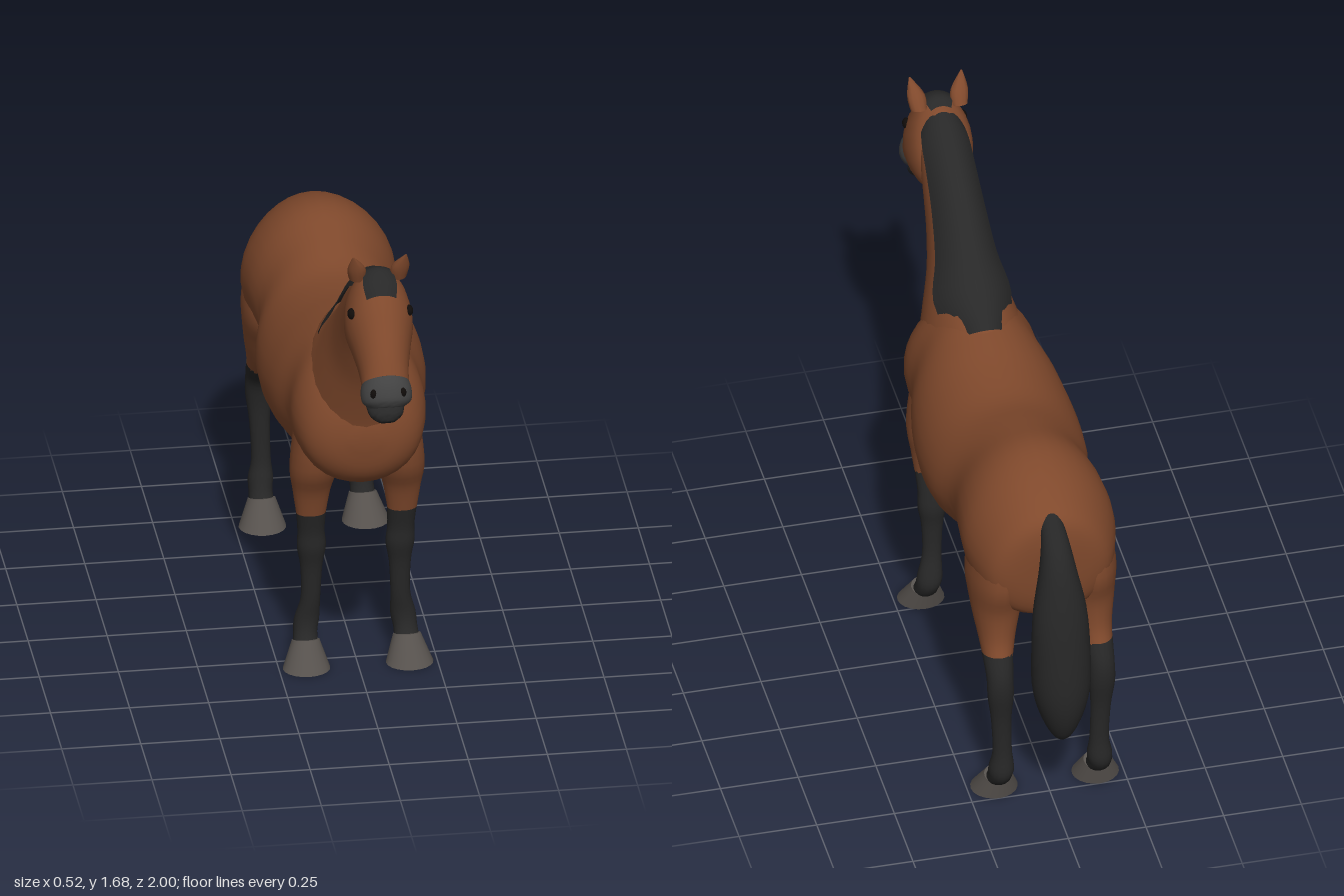
import * as THREE from 'three';
import { toCreasedNormals } from 'three/addons/utils/BufferGeometryUtils.js';

const mat = (name, color, side = THREE.FrontSide) => {
  const m = new THREE.MeshStandardMaterial({ color, side });
  m.name = name;
  return m;
};

// Smooth interpolation of the ring table
function refine(rings, steps) {
  const out = [];
  const at = (i) => rings[Math.min(Math.max(i, 0), rings.length - 1)];
  for (let i = 0; i < rings.length - 1; i++) {
    for (let s = 0; s < steps; s++) {
      const t = s / steps, t2 = t * t, t3 = t2 * t;
      out.push(at(i).map((p1, k) => {
        const p0 = at(i - 1)[k], p2 = at(i + 1)[k], p3 = at(i + 2)[k];
        return 0.5 * (2 * p1 + (p2 - p0) * t + (2 * p0 - 5 * p1 + 4 * p2 - p3) * t2
          + (3 * p1 - p0 - 3 * p2 + p3) * t3);
      }));
    }
  }
  out.push(at(rings.length - 1));
  return out;
}

// Skin over oval rings: [z, y of one end, z, y of the other end, half width, centre x]
// arc < PI gives an open strip around the first end; taper narrows that end
function loft(rings, { steps = 4, sides = 24, arc = Math.PI, inflate = 0, taper = 0 } = {}) {
  const rows = refine(rings.map((r) => (r.length < 6 ? [...r, 0] : r)), steps);
  const pos = [], idx = [], n = sides + 1, closed = arc === Math.PI;
  for (const [az, ay, bz, by, w, cx] of rows) {
    const grow = 0.5 + inflate / Math.hypot(az - bz, ay - by);
    for (let j = 0; j < n; j++) {
      const t = -arc + (2 * arc * j) / sides, c = Math.cos(t);
      pos.push(cx + (w + inflate) * Math.sin(t) * (1 - taper * c),
        (ay + by) / 2 + (ay - by) * grow * c, (az + bz) / 2 + (az - bz) * grow * c);
    }
  }
  for (let i = 0; i < rows.length - 1; i++) {
    for (let j = 0; j < sides; j++) {
      const a = i * n + j, b = a + 1, c = a + n, d = c + 1;
      idx.push(a, c, b, b, c, d);
    }
  }
  if (closed) {
    [0, rows.length - 1].forEach((r, end) => {
      const [az, ay, bz, by, , cx] = rows[r], m = pos.length / 3;
      pos.push(cx, (ay + by) / 2, (az + bz) / 2);
      for (let j = 0; j < sides; j++) {
        const a = r * n + j;
        if (end) idx.push(a, m, a + 1); else idx.push(a, a + 1, m);
      }
    });
  }
  // Turn the faces outward where the rings run the other way
  let volume = 0;
  const v = [0, 1, 2].map(() => new THREE.Vector3());
  for (let i = 0; i < idx.length; i += 3) {
    v.forEach((p, k) => p.fromArray(pos, idx[i + k] * 3));
    volume += v[0].dot(v[1].cross(v[2]));
  }
  if (volume < 0) idx.reverse();
  const g = new THREE.BufferGeometry();
  g.setAttribute('position', new THREE.Float32BufferAttribute(pos, 3));
  g.setIndex(idx);
  return toCreasedNormals(g, 0.95);
}

export function createModel() {
  const coat = mat('brown coat', 0x80492c);
  const black = mat('black hair', 0x262626);
  const maneMat = mat('black mane', 0x282828, THREE.DoubleSide);
  const hoofMat = mat('grey hoof', 0x56514d);
  const muzzleMat = mat('grey muzzle', 0x424242);
  const eyeMat = mat('dark eye', 0x100c0a);
  const model = new THREE.Group();
  const add = (name, geometry, material, parent = model) => {
    const m = new THREE.Mesh(geometry, material);
    m.name = name;
    parent.add(m);
    return m;
  };

  // Barrel, rump and chest
  add('body', loft([
    [-.805, 1.02, -.80, .90, .05], [-.79, 1.09, -.785, .77, .15], [-.74, 1.135, -.74, .70, .205],
    [-.62, 1.185, -.62, .69, .24], [-.5, 1.2, -.5, .705, .235], [-.35, 1.165, -.35, .685, .22],
    [-.2, 1.13, -.2, .64, .252], [-.05, 1.14, -.05, .622, .258], [.1, 1.17, .1, .63, .242],
    [.22, 1.19, .22, .65, .212], [.33, 1.16, .33, .675, .21], [.42, 1.08, .42, .70, .18],
    [.47, 1.0, .47, .76, .12], [.49, .92, .49, .85, .04],
  ], { sides: 32, taper: 0.1 }), coat);

  // Neck, with the mane as a strip along its crest
  const neck = [
    [.05, 1.13, .36, .72, .17], [.13, 1.19, .46, .84, .165], [.23, 1.24, .495, .95, .14],
    [.33, 1.33, .54, 1.08, .108], [.45, 1.44, .58, 1.17, .092], [.56, 1.515, .615, 1.25, .085],
    [.66, 1.57, .64, 1.32, .08], [.73, 1.595, .68, 1.38, .065],
  ];
  add('neck', loft(neck, { taper: 0.1 }), coat);
  const maneRings = [[.10, 1.18, .42, .84, .10], ...neck.slice(2)];
  add('mane', loft(maneRings, { arc: 1.05, inflate: 0.012, sides: 12, taper: 0.1 }), maneMat);

  // Head
  const head = [
    [.70, 1.60, .62, 1.42, .05], [.75, 1.615, .61, 1.36, .085], [.80, 1.595, .635, 1.315, .103],
    [.845, 1.545, .70, 1.29, .107], [.89, 1.48, .765, 1.27, .092], [.935, 1.41, .82, 1.25, .079],
    [.965, 1.35, .865, 1.235, .075],
  ];
  add('head', loft(head), coat);
  add('forelock', loft([[.71, 1.60, .66, 1.45, .06], ...head.slice(1, 3),
    [.835, 1.56, .68, 1.3, .09]], { arc: 0.5, inflate: 0.008, sides: 8 }), maneMat);
  add('muzzle', loft([
    [.96, 1.355, .86, 1.24, .074], [.985, 1.325, .875, 1.23, .081], [1.0, 1.28, .895, 1.22, .077],
    [.99, 1.25, .915, 1.215, .055],
  ]), muzzleMat);
  add('lowerLip', loft([
    [.90, 1.26, .84, 1.235, .06], [.935, 1.235, .885, 1.20, .06], [.962, 1.215, .915, 1.175, .05],
    [.965, 1.19, .94, 1.17, .025],
  ]), black);

  // Leg rings listed from the top down; the last value is the distance from the middle
  const legs = {
    front: {
      upper: [[.39, .9, .17, .9, .06, .13], [.375, .72, .19, .70, .075, .138],
        [.33, .62, .22, .61, .06, .143], [.305, .53, .237, .53, .047, .144]],
      lower: [[.306, .54, .236, .54, .048, .144], [.29, .46, .222, .46, .043, .142],
        [.289, .40, .214, .40, .046, .14], [.276, .33, .222, .33, .035, .14],
        [.27, .22, .218, .22, .031, .142], [.265, .15, .193, .13, .04, .152],
        [.275, .105, .205, .085, .038, .158], [.3, .07, .235, .05, .04, .16]],
      hoof: [[.298, .09, .225, .066, .044, .16], [.37, 0, .24, 0, .075, .163]],
    },
    hind: {
      upper: [[-.52, 1.0, -.76, 1.02, .07, .13], [-.46, .82, -.785, .84, .088, .148],
        [-.53, .70, -.755, .72, .08, .15], [-.60, .6, -.755, .62, .06, .155],
        [-.66, .54, -.775, .56, .048, .16]],
      lower: [[-.65, .55, -.772, .57, .05, .16], [-.715, .48, -.802, .51, .043, .163],
        [-.735, .41, -.808, .44, .042, .163], [-.74, .33, -.792, .33, .033, .16],
        [-.735, .2, -.79, .2, .031, .156], [-.72, .145, -.80, .125, .04, .158],
        [-.705, .105, -.785, .085, .038, .16], [-.685, .07, -.75, .05, .04, .16]],
      hoof: [[-.685, .09, -.76, .066, .044, .16], [-.61, 0, -.75, 0, .075, .163]],
    },
  };

  for (const s of [1, -1]) {
    const side = s > 0 ? 'left' : 'right';
    const place = (rings) => rings.map((r) => [...r.slice(0, 5), r[5] * s]);

    for (const [end, part] of Object.entries(legs)) {
      const leg = new THREE.Group();
      leg.name = `${side} ${end} leg`;
      model.add(leg);
      add('upperLeg', loft(place(part.upper), { sides: 20 }), coat, leg);
      add('lowerLeg', loft(place(part.lower), { sides: 16 }), black, leg);
      add('hoof', loft(place(part.hoof), { sides: 20 }), hoofMat, leg);
    }

    add(`${side} ear`, loft(place([
      [.765, 1.58, .715, 1.595, .027, .065], [.78, 1.625, .742, 1.635, .028, .07],
      [.79, 1.68, .785, 1.68, .003, .083],
    ]), { sides: 12 }), coat);

    const eye = add(`${side} eye`, new THREE.SphereGeometry(0.02, 12, 8), eyeMat);
    eye.position.set(s * 0.09, 1.49, 0.80);
    eye.scale.set(0.7, 0.9, 1);

    const nostril = add(`${side} nostril`, new THREE.SphereGeometry(0.014, 10, 8), eyeMat);
    nostril.position.set(s * 0.046, 1.295, 0.98);
    nostril.scale.set(0.8, 1.2, 0.7);
  }

  // Tail
  add('tail', loft([
    [-.76, 1.12, -.77, 1.05, .035], [-.85, 1.07, -.79, 1.0, .045], [-.915, .98, -.80, .93, .06],
    [-.96, .83, -.815, .82, .085], [-.985, .68, -.815, .68, .093], [-.997, .54, -.81, .54, .092],
    [-.985, .44, -.82, .44, .07], [-.95, .36, -.85, .38, .04], [-.90, .32, -.885, .335, .012],
  ]), black);

  return model;
}
